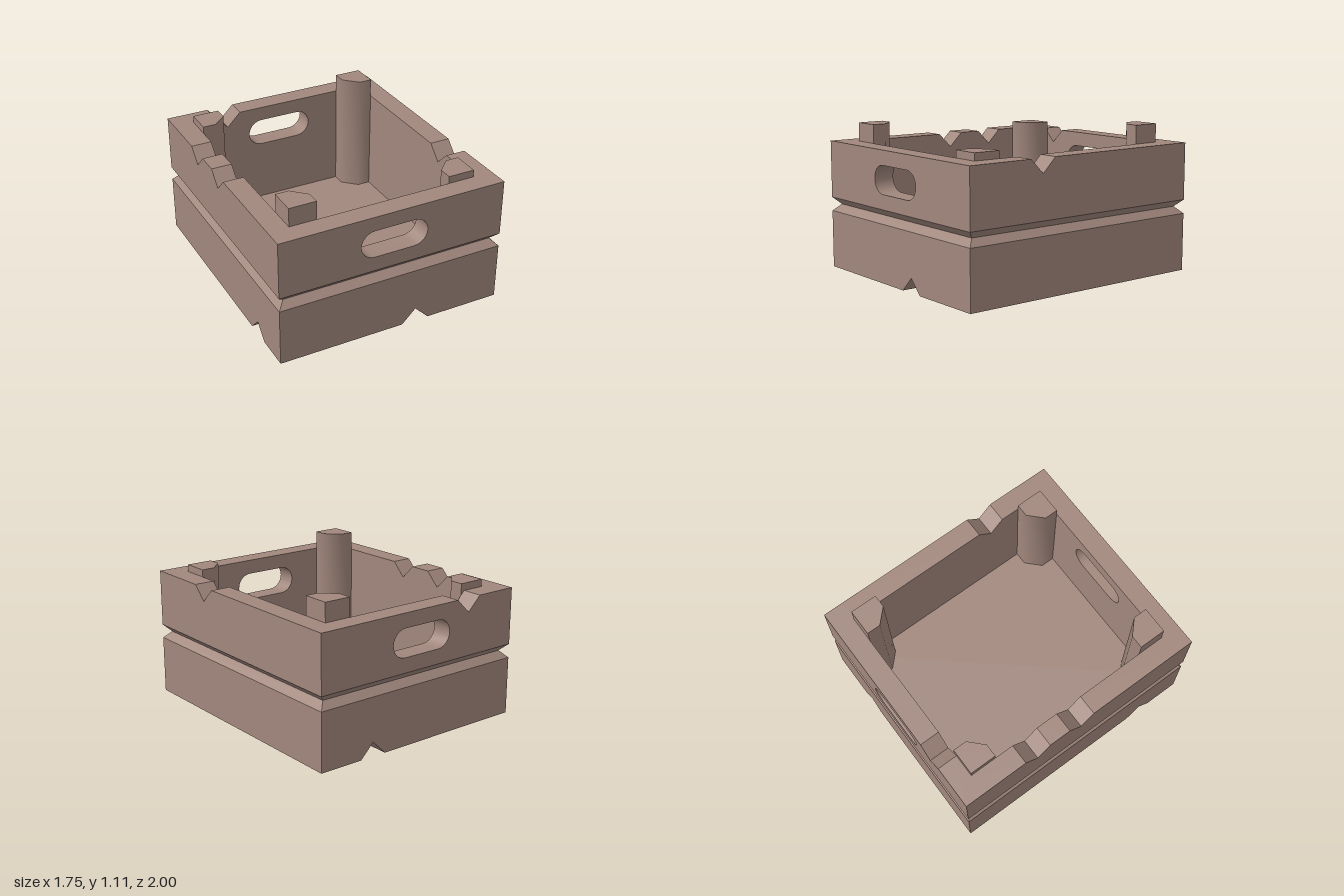
import * as THREE from 'three';
import { toCreasedNormals } from 'three/addons/utils/BufferGeometryUtils.js';

const HX = 0.875, HZ = 1, T = 0.155;           // outer half sizes, wall thickness
const IX = HX - T, IZ = HZ - T;                // inner half sizes
const FLOOR = 0.17, GROOVE_LOW = 0.435, GROOVE_HIGH = 0.54, RIM = 0.97;
const NOTCH = 0.106;                           // notch half width and depth

export function createModel() {
  const brown = new THREE.MeshStandardMaterial({ color: 0xa1877d });
  brown.name = 'crateBrown';
  const model = new THREE.Group();
  model.name = 'crate';

  const add = (parent, name, geometry) => {
    const mesh = new THREE.Mesh(geometry, brown);
    mesh.name = name;
    parent.add(mesh);
    return mesh;
  };

  // Upright plank with V notches cut in its bottom and top edges
  const plank = (half, y0, y1, bottom, top, hasHandle) => {
    const shape = new THREE.Shape();
    shape.moveTo(-half, y0);
    for (const u of [...bottom].sort((a, b) => a - b)) {
      shape.lineTo(u - NOTCH, y0).lineTo(u, y0 + NOTCH).lineTo(u + NOTCH, y0);
    }
    shape.lineTo(half, y0).lineTo(half, y1);
    for (const u of [...top].sort((a, b) => b - a)) {
      shape.lineTo(u + NOTCH, y1).lineTo(u, y1 - NOTCH).lineTo(u - NOTCH, y1);
    }
    shape.lineTo(-half, y1).closePath();
    if (hasHandle) {
      const hole = new THREE.Path();
      hole.absarc(0.155, 0.756, 0.105, -Math.PI / 2, Math.PI / 2, false);
      hole.absarc(-0.155, 0.756, 0.105, Math.PI / 2, Math.PI * 1.5, false);
      hole.closePath();
      shape.holes.push(hole);
    }
    const geometry = new THREE.ExtrudeGeometry(shape, { depth: T, bevelEnabled: false, curveSegments: 6 });
    return toCreasedNormals(geometry, 0.6);
  };

  // Four walls, each a lower and an upper plank; notch positions run left to right seen from outside
  const walls = [
    { name: 'front', angle: 0, half: HX, dist: HZ, bottom: [0.19], top: [], handle: true },
    { name: 'left', angle: Math.PI / 2, half: IZ, dist: HX, bottom: [], top: [-0.385], handle: false },
    { name: 'back', angle: Math.PI, half: HX, dist: HZ, bottom: [-0.43], top: [0.44], handle: true },
    { name: 'right', angle: -Math.PI / 2, half: IZ, dist: HX, bottom: [0.63], top: [-0.385, 0], handle: false },
  ];
  for (const w of walls) {
    const wall = new THREE.Group();
    wall.name = w.name + 'Wall';
    wall.rotation.y = w.angle;
    const lower = add(wall, w.name + 'LowerPlank', plank(w.half, 0, GROOVE_LOW, w.bottom, [], false));
    const upper = add(wall, w.name + 'UpperPlank', plank(w.half, GROOVE_HIGH, RIM, [], w.top, w.handle));
    lower.position.z = upper.position.z = w.dist - T;
    model.add(wall);
  }

  // V-grooved band between the planks: rectangles joined in order around the profile
  const depth = 0.053;
  const rings = [
    [HX, HZ, GROOVE_LOW],
    [HX - depth, HZ - depth, (GROOVE_LOW + GROOVE_HIGH) / 2],
    [HX, HZ, GROOVE_HIGH],
    [IX, IZ, GROOVE_HIGH],
    [IX, IZ, GROOVE_LOW],
  ];
  const corners = [[1, 1], [1, -1], [-1, -1], [-1, 1]];
  const positions = [];
  const point = (r, c) => [rings[r][0] * corners[c % 4][0], rings[r][2], rings[r][1] * corners[c % 4][1]];
  for (let r = 0; r < rings.length - 1; r++) {
    for (let c = 0; c < 4; c++) {
      const p = point(r, c), q = point(r, c + 1), s = point(r + 1, c + 1), t = point(r + 1, c);
      positions.push(...p, ...q, ...s, ...p, ...s, ...t);
    }
  }
  const band = new THREE.BufferGeometry();
  band.setAttribute('position', new THREE.Float32BufferAttribute(positions, 3));
  band.computeVertexNormals();
  add(model, 'groovedBand', band);

  // Floor
  add(model, 'floor', new THREE.BoxGeometry(IX * 2, FLOOR, IZ * 2)).position.y = FLOOR / 2;

  // Chamfered corner posts, tall and short on opposite diagonals
  for (const [sx, sz] of corners) {
    const outline = [[IX, IZ], [0.515, IZ], [0.515, 0.74], [0.62, 0.638], [IX, 0.638]]
      .map(([x, z]) => new THREE.Vector2(x * sx, -z * sz));
    const top = sx * sz < 0 ? 1.11 : 1.025;
    const geometry = new THREE.ExtrudeGeometry(new THREE.Shape(outline), { depth: top - FLOOR, bevelEnabled: false });
    geometry.rotateX(-Math.PI / 2);
    const name = (sz > 0 ? 'front' : 'back') + (sx > 0 ? 'Left' : 'Right') + 'Post';
    add(model, name, toCreasedNormals(geometry, 0.85)).position.y = FLOOR;
  }

  return model;
}
